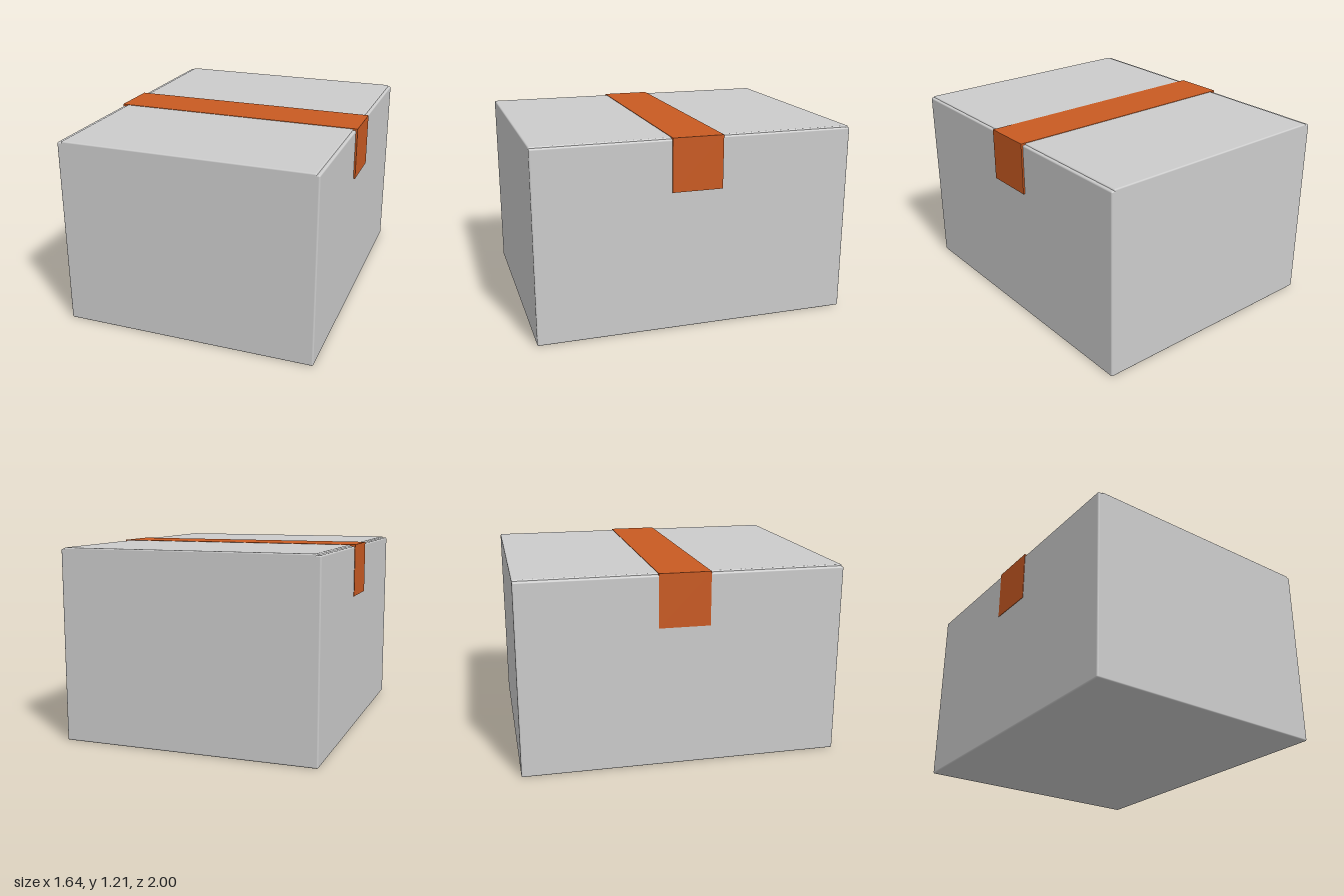
import * as THREE from 'three';
import { RoundedBoxGeometry } from 'three/addons/geometries/RoundedBoxGeometry.js';

const card = new THREE.MeshStandardMaterial({ color: 0xcccccc });
const tapeMaterial = new THREE.MeshStandardMaterial({ color: 0xc85a22 });

// Softly rounded block given by its lower and upper corners
function block(name, [x0, y0, z0], [x1, y1, z1], radius) {
  const geometry = new RoundedBoxGeometry(x1 - x0, y1 - y0, z1 - z0, 3, radius);
  geometry.translate((x0 + x1) / 2, (y0 + y1) / 2, (z0 + z1) / 2);
  const mesh = new THREE.Mesh(geometry, card);
  mesh.name = name;
  return mesh;
}

export function createModel() {
  const group = new THREE.Group();
  group.name = 'cardboardBox';

  // Carton body, its rim slightly below the closed flaps
  group.add(block('body', [-0.816, 0, -1], [0.806, 1.2, 1], 0.01));

  // Two closing flaps that meet under the tape
  group.add(block('frontFlap', [-0.787, 1.17, 0.002], [0.787, 1.208, 1], 0.009));
  group.add(block('backFlap', [-0.787, 1.17, -1], [0.787, 1.208, -0.002], 0.009));

  // Tape strip folded down over both sides
  const profile = new THREE.Shape([
    [-0.819, 0.88], [-0.819, 1.211], [0.817, 1.211], [0.817, 0.88],
    [0.805, 0.88], [0.805, 1.199], [-0.812, 1.199], [-0.812, 0.88],
  ].map(([x, y]) => new THREE.Vector2(x, y)));
  const tapeGeometry = new THREE.ExtrudeGeometry(profile, { depth: 0.318, bevelEnabled: false });
  tapeGeometry.translate(0, 0, -0.156);
  const tape = new THREE.Mesh(tapeGeometry, tapeMaterial);
  tape.name = 'tape';
  group.add(tape);

  return group;
}
